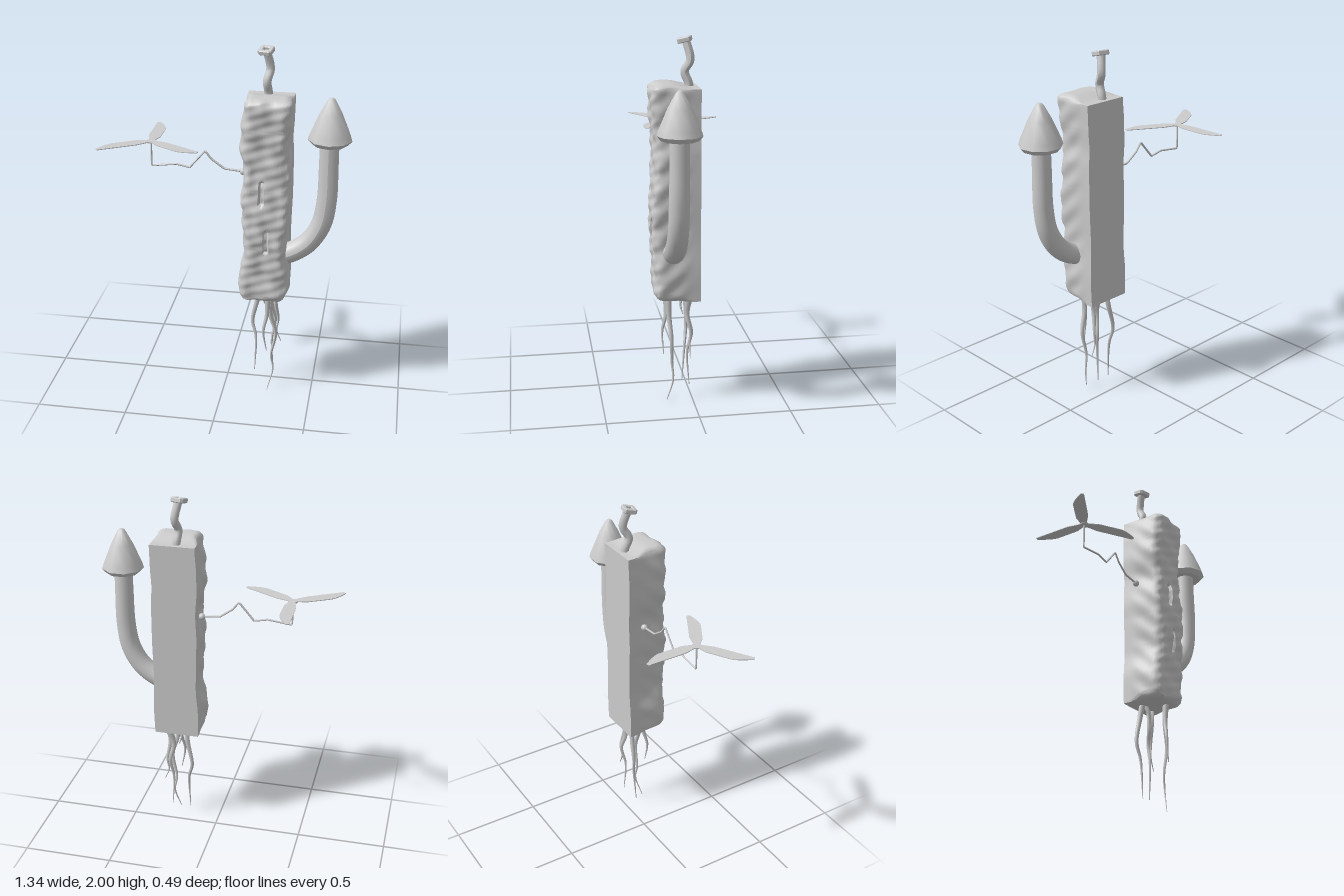
import * as THREE from 'three';
import { mergeVertices, toCreasedNormals } from 'three/addons/utils/BufferGeometryUtils.js';

const V = (p) => new THREE.Vector3(...p);
const smooth = THREE.MathUtils.smoothstep;
const clamp = THREE.MathUtils.clamp;

// Linear interpolation through [key, value] pairs with rising keys
function lerpTable(table, k) {
  for (let i = 1; i < table.length; i++) {
    const [a, va] = table[i - 1], [b, vb] = table[i];
    if (k <= b) return va + (vb - va) * smooth(k, a, b);
  }
  return table[table.length - 1][1];
}

// Tube through points whose radius runs from r0 to r1
function taperedTube(points, r0, r1, sides, steps, straight) {
  const pts = points.map(V);
  let curve = new THREE.CatmullRomCurve3(pts, false, 'centripetal');
  if (straight) {
    curve = new THREE.CurvePath();
    for (let i = 1; i < pts.length; i++) curve.add(new THREE.LineCurve3(pts[i - 1], pts[i]));
  }
  const geo = new THREE.TubeGeometry(curve, steps, 1, sides);
  const pos = geo.attributes.position, v = new THREE.Vector3();
  for (let i = 0; i < pos.count; i++) {
    const t = Math.floor(i / (sides + 1)) / steps;
    const c = curve.getPointAt(t);
    v.fromBufferAttribute(pos, i).sub(c).multiplyScalar(r0 + (r1 - r0) * t).add(c);
    pos.setXYZ(i, v.x, v.y, v.z);
  }
  geo.computeVertexNormals();
  return geo;
}

// Weathered block: rounded and lumpy at the front, sharp and flat at the back
function bodyGeometry() {
  const hx = 0.125, y0 = 0.6, y1 = 1.765, zBack = -0.03, zFront = 0.215;
  const left = [[0.6, 0.012], [0.74, 0.015], [0.9, -0.012], [1.1, -0.004], [1.2, 0.004], [1.35, -0.01], [1.5, 0.012], [1.6, 0.006], [1.76, -0.012]];
  const right = [[0.6, -0.004], [0.75, 0.006], [0.95, -0.008], [1.2, 0.006], [1.4, 0.006], [1.5, -0.008], [1.62, 0.006], [1.76, 0.012]];
  const slots = [[0.212, 1.25], [0.238, 0.97]];
  let geo = new THREE.BoxGeometry(2 * hx, y1 - y0, zFront - zBack, 44, 120, 12);
  geo.translate(0.228, (y0 + y1) / 2, (zFront + zBack) / 2);
  geo.deleteAttribute('uv');
  geo.deleteAttribute('normal');
  geo = mergeVertices(geo);
  const pos = geo.attributes.position;
  const p = new THREE.Vector3(), core = new THREE.Vector3(), d = new THREE.Vector3();
  for (let i = 0; i < pos.count; i++) {
    p.fromBufferAttribute(pos, i);
    const x = p.x, y = p.y, front = smooth(p.z, 0.0, 0.12);
    const onFront = p.z > zFront - 1e-4;
    // rounded edges, growing from the back to the front
    const r = 0.001 + 0.045 * front;
    core.set(clamp(x, 0.228 - hx + r, 0.228 + hx - r), clamp(y, y0 + r, y1 - r), Math.min(p.z, zFront - r));
    d.subVectors(p, core);
    if (d.length() > r) p.copy(core).addScaledVector(d.normalize(), r);
    // uneven outline and hewn lumps
    const side = (x - 0.228) / hx, k = 0.4 + 0.6 * front;
    p.x += k * (side < 0 ? lerpTable(left, y) : lerpTable(right, y)) * side;
    const lump = Math.sin(x * 31 + y * 17 + 1) * Math.sin(y * 26 - x * 12) + 0.6 * Math.sin(x * 57 - y * 43) * Math.sin(y * 61 + x * 20);
    p.z += front * (0.007 * lump + 0.008 * Math.sin(y * 9 + 4.5));
    p.x += front * side * 0.004 * Math.sin(y * 47 + p.z * 40);
    p.y += (1 - front) * (y > 1.5 ? -0.025 : 0) * smooth(y, 1.6, y1);
    // sunken slots
    if (onFront) for (const [sx, sy] of slots) {
      const dist = Math.hypot(x - sx, y - clamp(y, sy - 0.055, sy + 0.055));
      p.z -= 0.02 * (1 - smooth(dist, 0.009, 0.016));
    }
    pos.setXYZ(i, p.x, p.y, p.z);
  }
  return toCreasedNormals(geo, 0.75);
}

// One flat propeller blade, pointing along -z once laid down
function bladeGeometry() {
  const s = new THREE.Shape();
  s.moveTo(-0.012, 0);
  s.lineTo(-0.032, 0.09);
  s.lineTo(-0.033, 0.305);
  s.lineTo(-0.016, 0.31);
  s.quadraticCurveTo(0.035, 0.24, 0.036, 0.2);
  s.lineTo(0.035, 0.07);
  s.lineTo(0.012, 0);
  const geo = new THREE.ExtrudeGeometry(s, { depth: 0.004, bevelEnabled: false });
  geo.rotateX(-Math.PI / 2);
  return geo;
}

export function createModel() {
  const model = new THREE.Group();
  const mat = new THREE.MeshStandardMaterial({ color: 0xcccccc });
  const thin = new THREE.MeshStandardMaterial({ color: 0xcccccc, side: THREE.DoubleSide });
  const add = (name, geo, material = mat, parent = model) => {
    const mesh = new THREE.Mesh(geo, material);
    mesh.name = name;
    parent.add(mesh);
    return mesh;
  };

  add('body', bodyGeometry());

  // Curved side turret with its pointed roof
  add('sideTower', taperedTube([[0.29, 0.86, 0.115], [0.37, 0.885, 0.115], [0.46, 0.95, 0.115], [0.525, 1.06, 0.115],
    [0.55, 1.2, 0.115], [0.553, 1.4, 0.113], [0.553, 1.55, 0.113]], 0.058, 0.05, 16, 40));
  const roof = new THREE.LatheGeometry([[0, 1.525], [0.095, 1.52], [0.117, 1.545], [0.108, 1.575], [0.063, 1.68],
    [0.022, 1.755], [0.01, 1.767], [0, 1.77]].map(([x, y]) => new THREE.Vector2(x, y)), 9);
  add('towerRoof', toCreasedNormals(roof, 0.75)).position.set(0.555, 0, 0.112);

  // Crooked chimney with a square open cap
  add('chimney', taperedTube([[0.217, 1.72, 0.012], [0.217, 1.755, 0.015], [0.212, 1.815, 0.036], [0.225, 1.875, 0.008],
    [0.207, 1.975, 0.028]], 0.023, 0.022, 8, 24), thin);
  const square = (shape, h, c) => {
    shape.moveTo(-h + c, -h);
    [[h - c, -h], [h, -h + c], [h, h - c], [h - c, h], [-h + c, h], [-h, h - c], [-h, -h + c]].forEach(([x, y]) => shape.lineTo(x, y));
    shape.closePath();
    return shape;
  };
  const capShape = square(new THREE.Shape(), 0.033, 0.008);
  capShape.holes.push(square(new THREE.Path(), 0.018, 0.004));
  const capGeo = new THREE.ExtrudeGeometry(capShape, { depth: 0.018, bevelSize: 0.004, bevelThickness: 0.004, bevelSegments: 1 });
  capGeo.rotateX(-Math.PI / 2);
  const cap = add('chimneyCap', capGeo);
  cap.position.set(0.205, 1.969, 0.032);
  cap.rotation.set(0.25, -0.25, 0.05);
  const plug = add('chimneyCapFloor', new THREE.BoxGeometry(0.045, 0.006, 0.045), mat, cap);
  plug.position.y = 0.003;

  // Bent rod leading to the propeller
  add('propellerRod', taperedTube([[-0.41, 1.46, 0.06], [-0.41, 1.318, 0.06], [-0.275, 1.335, 0.06], [-0.2, 1.32, 0.06],
    [-0.115, 1.42, 0.06], [-0.08, 1.375, 0.06], [-0.01, 1.325, 0.06], [0.12, 1.313, 0.06]], 0.005, 0.006, 6, 90, true));
  const knob = add('rodSocket', new THREE.SphereGeometry(0.019, 12, 8));
  knob.position.set(0.093, 1.314, 0.06);

  const propeller = new THREE.Group();
  propeller.name = 'propeller';
  propeller.position.set(-0.41, 1.456, 0.06);
  model.add(propeller);
  const blade = bladeGeometry();
  for (let i = 0; i < 3; i++) add('blade', blade, thin, propeller).rotation.y = i * 2 * Math.PI / 3;
  add('hub', new THREE.CylinderGeometry(0.026, 0.026, 0.008, 12), mat, propeller);

  // Dangling roots
  const roots = [
    [[0.185, 0.63, 0.04], [0.175, 0.53, 0.025], [0.147, 0.38, 0.02], [0.168, 0.29, 0.03], [0.165, 0.07, 0.045]],
    [[0.27, 0.63, 0.13], [0.262, 0.5, 0.13], [0.293, 0.37, 0.12], [0.268, 0.22, 0.115], [0.28, 0.13, 0.11], [0.25, 0, 0.14]],
    [[0.25, 0.63, 0.15], [0.245, 0.5, 0.145], [0.228, 0.4, 0.163], [0.247, 0.27, 0.158]],
    [[0.285, 0.63, 0.01], [0.26, 0.5, 0.03], [0.277, 0.4, 0.01], [0.262, 0.28, 0.03], [0.268, 0.09, 0.02]],
    [[0.3, 0.63, 0.02], [0.28, 0.53, 0.035], [0.295, 0.4, 0.015], [0.287, 0.33, 0.02], [0.313, 0.26, 0.02]],
    [[0.205, 0.63, 0.03], [0.215, 0.55, 0.06], [0.232, 0.49, 0.05]],
  ];
  roots.forEach((path) => add('root', taperedTube(path, 0.017, 0.002, 6, 24)));

  return model;
}
